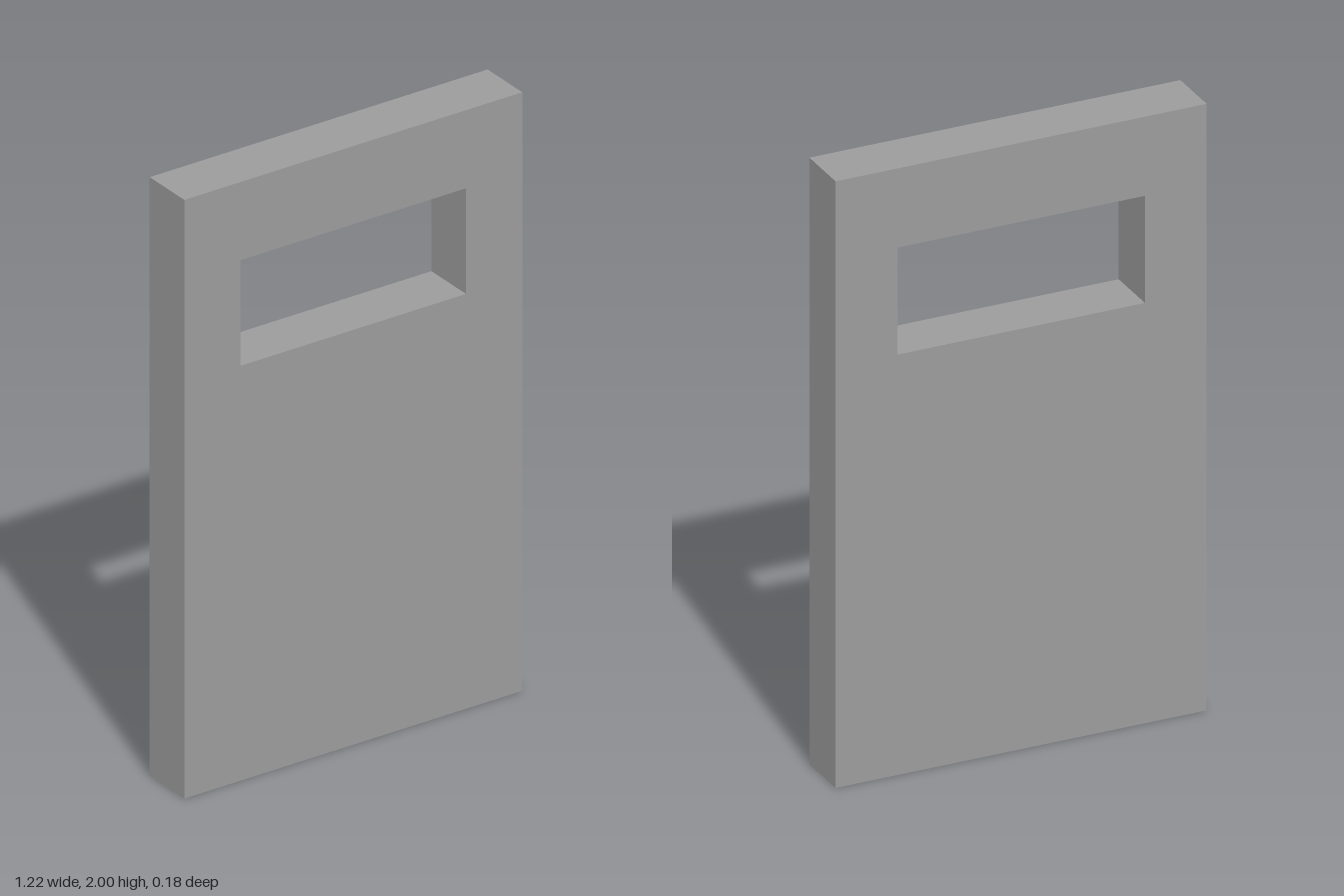
import * as THREE from 'three';

const WIDTH = 1.223, HEIGHT = 2, DEPTH = 0.18;
const WINDOW = { halfWidth: 0.408, bottom: 1.386, top: 1.739 };

// Trace a closed rectangle on a Shape or Path
function rectangle(path, halfWidth, bottom, top) {
  path.moveTo(-halfWidth, bottom);
  path.lineTo(halfWidth, bottom);
  path.lineTo(halfWidth, top);
  path.lineTo(-halfWidth, top);
  path.closePath();
  return path;
}

export function createModel() {
  const model = new THREE.Group();
  model.name = 'door';

  // Door slab with a rectangular window opening cut right through
  const outline = rectangle(new THREE.Shape(), WIDTH / 2, 0, HEIGHT);
  outline.holes.push(rectangle(new THREE.Path(), WINDOW.halfWidth, WINDOW.bottom, WINDOW.top));
  const geometry = new THREE.ExtrudeGeometry(outline, { depth: DEPTH, bevelEnabled: false });
  geometry.translate(0, 0, -DEPTH / 2);

  const panel = new THREE.Mesh(geometry, new THREE.MeshStandardMaterial({ color: 0x9c9c9c }));
  panel.name = 'doorPanel';
  model.add(panel);
  return model;
}
